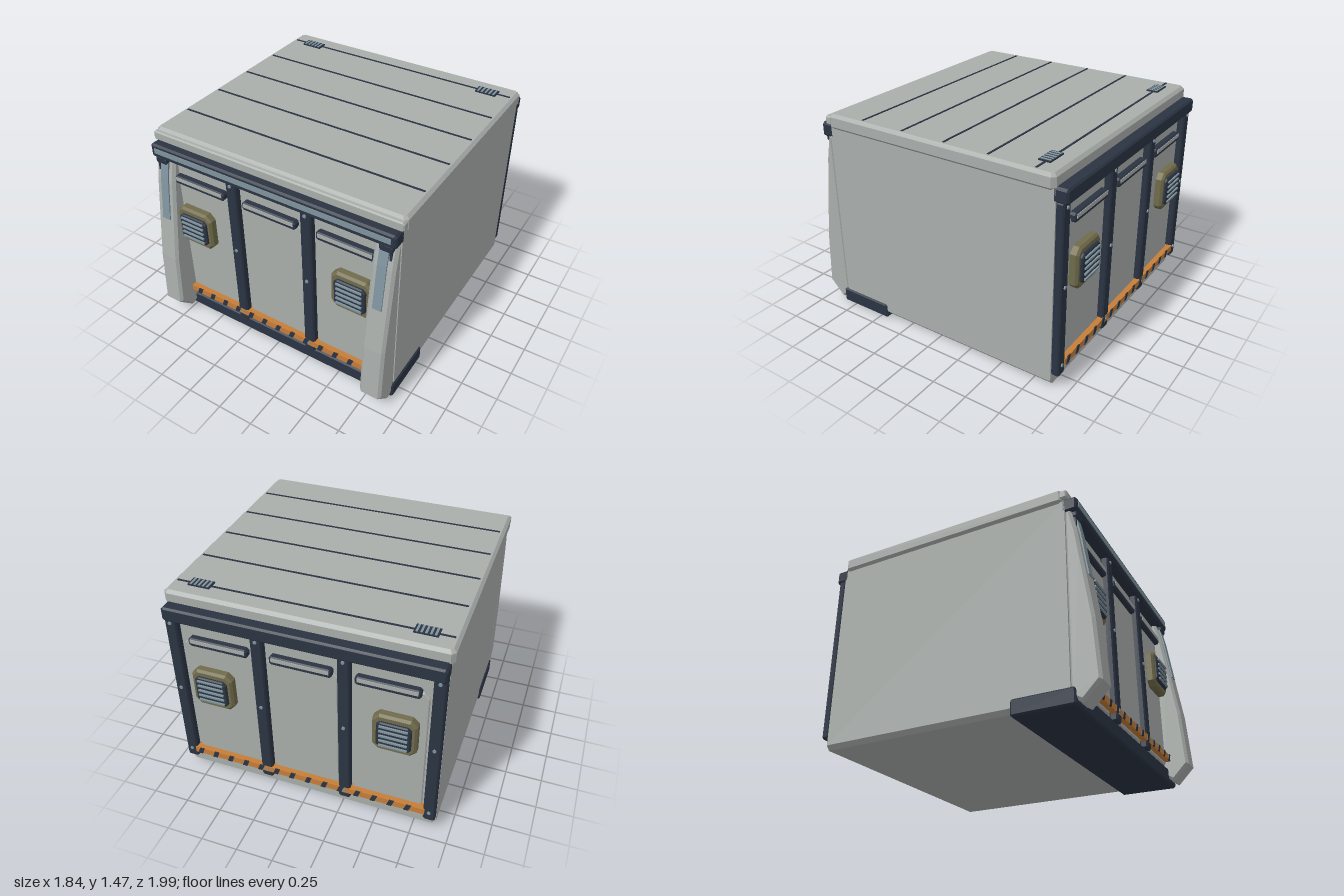
import * as THREE from 'three';

const mat = (name, color) => {
  const m = new THREE.MeshStandardMaterial({ color });
  m.name = name;
  return m;
};

export function createModel() {
  const model = new THREE.Group();
  model.name = 'container';
  const shell = mat('shell grey', 0xa9aeab);
  const dark = mat('dark navy', 0x2b3443);
  const steel = mat('blue steel', 0x7f939d);
  const orange = mat('hazard orange', 0xc67d38);
  const olive = mat('olive', 0x706b4b);

  const add = (parent, name, geo, material, x = 0, y = 0, z = 0) => {
    const m = new THREE.Mesh(geo, material);
    m.name = name;
    m.position.set(x, y, z);
    parent.add(m);
    return m;
  };
  const box = (w, h, d) => new THREE.BoxGeometry(w, h, d);

  // Outline extruded along z, with every edge cut by a small bevel
  const extrude = (points, depth, b = 0) => {
    const s = new THREE.Shape(points.map(([x, y]) => new THREE.Vector2(x, y)));
    const g = new THREE.ExtrudeGeometry(s, {
      depth: depth - 2 * b, bevelEnabled: b > 0, bevelSize: b,
      bevelThickness: b, bevelOffset: -b, bevelSegments: 1,
    });
    return g.translate(0, 0, b - depth / 2);
  };
  // Plate with four cut corners, centred on the origin
  const plate = (w, h, d, c, b = 0) => {
    const x = w / 2, y = h / 2;
    return extrude([[-x + c, -y], [x - c, -y], [x, -y + c], [x, y - c],
      [x - c, y], [-x + c, y], [-x, y - c], [-x, -y + c]], d, b);
  };

  // Body shell, with the lower side edges cut
  add(model, 'body', extrude([[-0.875, 0.03], [0.875, 0.03], [0.9, 0.06], [0.9, 1.37],
    [-0.9, 1.37], [-0.9, 0.06]], 1.705), shell, 0, 0, -0.0375);

  // Roof slab, front lip and seams
  const roof = plate(1.835, 1.7, 0.105, 0.025, 0.02).rotateX(-Math.PI / 2);
  add(model, 'roof', roof, shell, 0, 1.412, -0.04);
  add(model, 'roofLip', plate(1.83, 0.065, 0.05, 0.012, 0.008), shell, 0, 1.415, 0.81);
  for (const z of [-0.755, -0.432, -0.112, 0.208, 0.53]) {
    add(model, 'roofSeam', box(1.77, 0.006, 0.014), dark, 0, 1.465, z);
  }
  for (const x of [-0.72, 0.72]) {
    add(model, 'roofVent', box(0.148, 0.012, 0.08), dark, x, 1.467, -0.75);
    for (let i = -2; i <= 2; i++) {
      add(model, 'roofVentSlat', box(0.014, 0.006, 0.07), steel, x + i * 0.028, 1.473, -0.75);
    }
  }

  // One end wall, built outwards from z = 0
  const bolt = new THREE.CylinderGeometry(0.012, 0.012, 0.012, 8).rotateX(Math.PI / 2);
  function endWall(name, postXs) {
    const wall = new THREE.Group();
    wall.name = name;
    model.add(wall);

    add(wall, 'headerBeam', plate(1.8, 0.1, 0.1, 0.015, 0.012), dark, 0, 1.337, 0.027);
    for (const x of postXs) {
      add(wall, 'post', plate(0.08, 1.19, 0.055, 0.012, 0.01), dark, x, 0.705, 0.0265);
      for (const y of [0.185, 0.745, 1.265]) add(wall, 'bolt', bolt, steel, x, y, 0.056);
    }

    // Raised door panels and their handles
    for (const [x, w] of [[-0.565, 0.47], [0, 0.46], [0.565, 0.47]]) {
      add(wall, 'panel', plate(w, 1.0, 0.02, 0.035, 0.006), shell, x, 0.64, 0.008);
      const hx = x * 0.975;
      add(wall, 'handle', plate(0.405, 0.062, 0.05, 0.014, 0.008), dark, hx, 1.143, 0.025);
      add(wall, 'handleGrip', box(0.375, 0.026, 0.008), shell, hx, 1.153, 0.05);
    }

    // Framed vents
    for (const x of [-0.61, 0.61]) {
      add(wall, 'ventFrame', plate(0.285, 0.285, 0.07, 0.04, 0.015), olive, x, 0.802, 0.04);
      add(wall, 'vent', plate(0.222, 0.2, 0.03, 0.022, 0.008), dark, x, 0.802, 0.078);
      for (let i = -2; i <= 2; i++) {
        add(wall, 'ventSlat', box(0.18, 0.012, 0.016), steel, x, 0.802 + i * 0.038, 0.096);
      }
    }

    // Hazard strip with slanted bands
    add(wall, 'hazardStrip', box(1.66, 0.046, 0.057), orange, 0, 0.182, 0.0285);
    const band = [[-0.026, -0.024], [0.008, -0.024], [0.026, 0.024], [-0.008, 0.024]];
    for (let i = -1; i <= 12; i++) {
      add(wall, 'hazardBand', extrude(band, 0.008), dark, -0.67 + i * 0.1155, 0.182, 0.057);
    }
    return wall;
  }
  const front = endWall('frontWall', [-0.28, 0.28]);
  front.position.z = 0.815;
  add(front, 'beamInlay', box(1.735, 0.038, 0.008), steel, 0, 1.342, 0.077);
  const back = endWall('backWall', [-0.86, -0.28, 0.28, 0.86]);
  back.position.z = -0.89;
  back.rotation.y = Math.PI;

  // Front sill wrapping under the body
  add(model, 'sill', plate(1.82, 0.11, 0.41, 0.012, 0.012), dark, 0, 0.06, 0.645);

  // Swept front legs with steel struts and top brackets, profiles in z and y
  const legProfile = [[0.81, 0.05], [0.83, 0.05], [0.885, 0.015], [1.0, 0.13], [0.975, 0.52],
    [0.912, 0.96], [0.888, 1.13], [0.85, 1.3], [0.81, 1.3]];
  const strutProfile = [[0.90, 0.835], [0.938, 0.835], [0.919, 0.97], [0.896, 1.14],
    [0.872, 1.26], [0.83, 1.26]];
  const leg = extrude(legProfile, 0.155, 0.018).rotateY(-Math.PI / 2);
  const strut = extrude(strutProfile, 0.062).rotateY(-Math.PI / 2);
  for (const s of [-1, 1]) {
    add(model, 'frontLeg', leg, shell, s * 0.822, 0, 0);
    add(model, 'legStrut', strut, steel, s * 0.818, 0, 0);
    add(model, 'legBracket', plate(0.09, 0.05, 0.075, 0.012, 0.006), dark, s * 0.832, 1.272, 0.848);
    add(model, 'legBracketTab', box(0.016, 0.1, 0.05), dark, s * 0.862, 1.23, 0.85);
  }
  return model;
}
